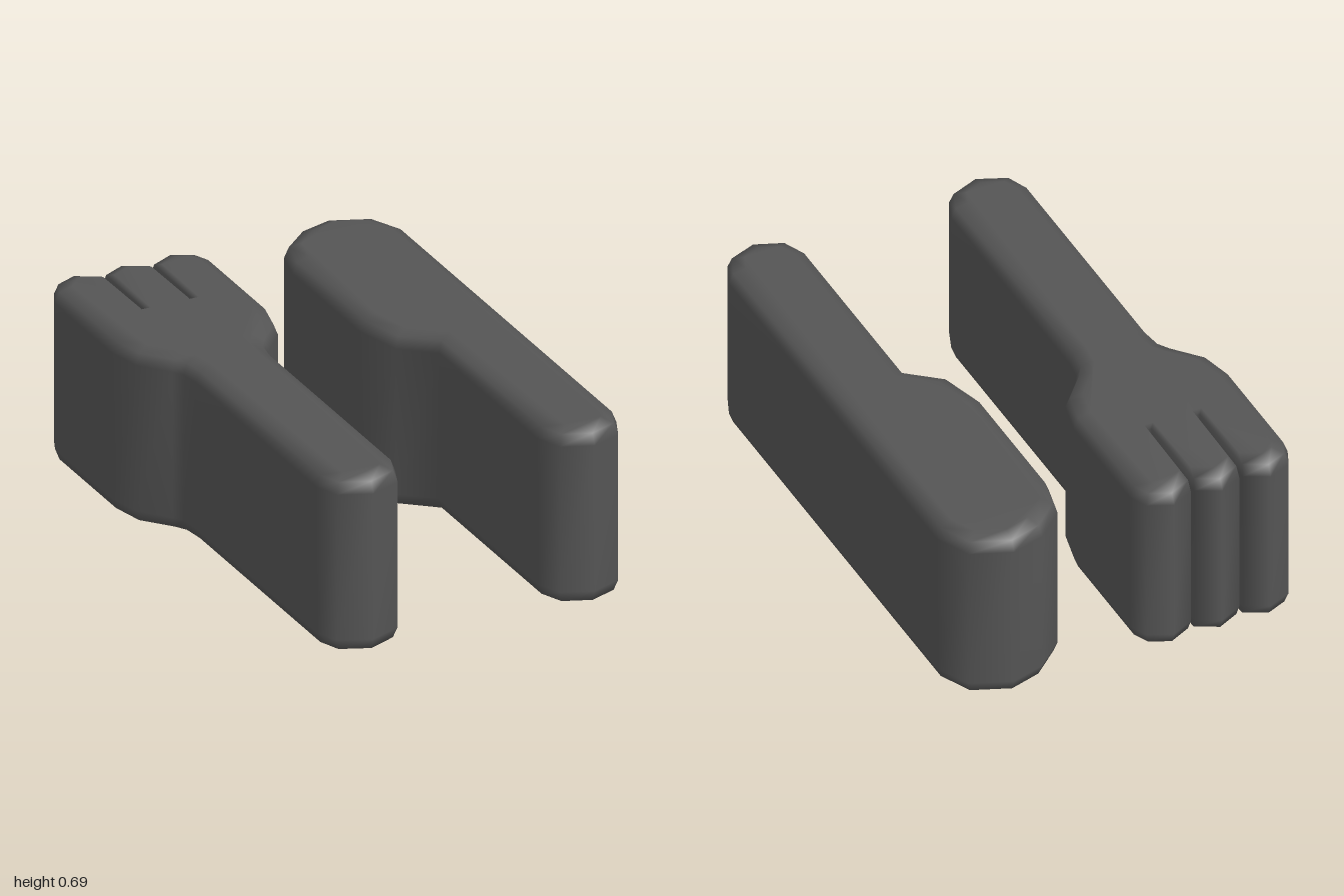
import * as THREE from 'three';

const HEIGHT = 0.69;
// Bevel profile from bottom to top: [inset, y]
const LOWER = [[0.06, 0], [0.016, 0.018], [0, 0.06]];
const PROFILE = [...LOWER, ...LOWER.map(([d, y]) => [d, HEIGHT - y]).reverse()];
const GROOVE_BEVEL = 0.25; // the narrow grooves get a finer bevel

// Moves every edge of an outline [x, z, groove?] inward and intersects neighbours
function insetOutline(pts, dist) {
  const n = pts.length;
  const edges = pts.map((p, i) => {
    const q = pts[(i + 1) % n];
    const len = Math.hypot(q[0] - p[0], q[1] - p[1]);
    return {
      nx: (q[1] - p[1]) / len,
      nz: -(q[0] - p[0]) / len,
      d: dist * (p[2] && q[2] ? GROOVE_BEVEL : 1),
    };
  });
  return pts.map((p, i) => {
    const a = edges[(i + n - 1) % n], b = edges[i];
    const det = a.nx * b.nz - a.nz * b.nx;
    if (Math.abs(det) < 0.02) return [p[0] + b.nx * b.d, p[1] + b.nz * b.d];
    return [
      p[0] + (a.d * b.nz - b.d * a.nz) / det,
      p[1] + (a.nx * b.d - b.nx * a.d) / det,
    ];
  });
}

// Upright slab with rounded rims, built from stacked inset outlines
function bevelledSlab(pts) {
  const n = pts.length, positions = [], index = [];
  for (const [d, y] of PROFILE) {
    for (const [x, z] of insetOutline(pts, d)) positions.push(x, y, z);
  }
  for (let k = 0; k < PROFILE.length - 1; k++) {
    for (let i = 0; i < n; i++) {
      const j = (i + 1) % n;
      const a = k * n + i, b = k * n + j, c = a + n, e = b + n;
      index.push(a, b, e, a, e, c);
    }
  }
  // Flat bottom and top
  const cap = insetOutline(pts, PROFILE[0][0]).map(([x, z]) => new THREE.Vector2(x, -z));
  const top = (PROFILE.length - 1) * n;
  for (const [a, b, c] of THREE.ShapeUtils.triangulateShape(cap, [])) {
    index.push(c, b, a, top + a, top + b, top + c);
  }
  const geo = new THREE.BufferGeometry();
  geo.setAttribute('position', new THREE.Float32BufferAttribute(positions, 3));
  geo.setIndex(index);
  geo.computeVertexNormals();
  return geo;
}

export function createModel() {
  const group = new THREE.Group();
  const material = new THREE.MeshStandardMaterial({ color: 0x555555 });
  const add = (name, outline) => {
    const mesh = new THREE.Mesh(bevelledSlab(outline), material);
    mesh.name = name;
    group.add(mesh);
  };

  // Fork: half outline from the middle tine round to the handle end, then mirrored
  const axis = -0.36;
  const half = [
    [0, -1],
    [-0.088, -0.955, 1], [-0.092, -0.615, 1], [-0.098, -0.615, 1], [-0.102, -0.955, 1],
    [-0.19, -1], [-0.28, -0.96], [-0.31, -0.89],
    [-0.31, -0.44], [-0.28, -0.31], [-0.19, -0.205], [-0.165, -0.165], [-0.155, -0.09],
    [-0.155, 0.86], [-0.12, 0.95], [0, 1],
  ];
  const mirrored = half.slice(1, -1).reverse().map(([x, z, g]) => [-x, z, g]);
  add('fork', [...half, ...mirrored].map(([x, z, g]) => [x + axis, z, g]));

  // Knife: rounded blade on one side of a straight back
  add('knife', [
    [0.46, -1], [0.33, -0.96], [0.22, -0.86], [0.19, -0.73],
    [0.19, -0.2], [0.24, -0.02], [0.36, 0.08],
    [0.36, 0.86], [0.4, 0.955], [0.515, 1], [0.63, 0.955], [0.67, 0.86],
    [0.67, -0.81], [0.61, -0.94],
  ]);
  return group;
}
